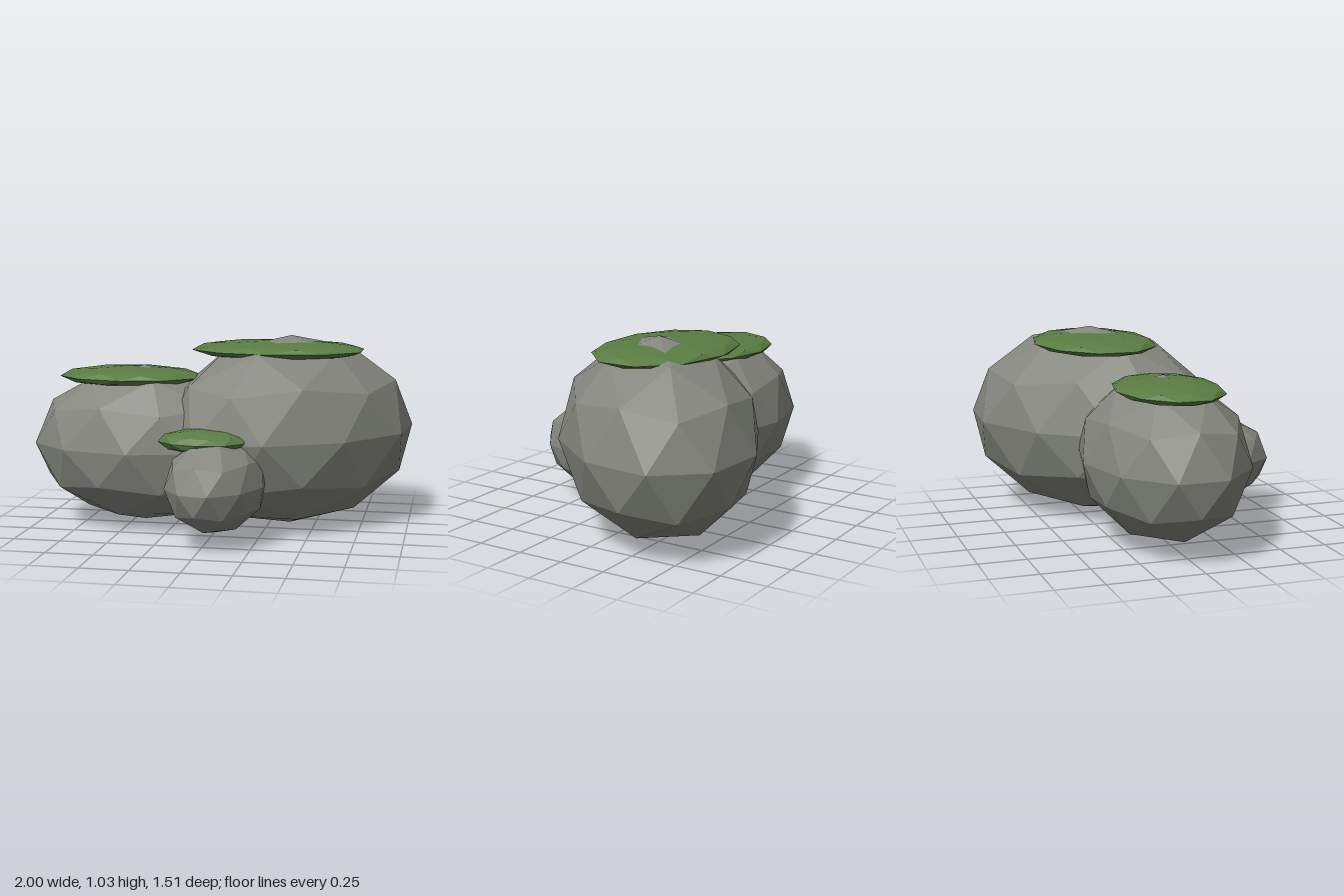
import * as THREE from 'three';

// Faceted unit boulder: a corner points straight up and one upper-ring corner points to +x
function facetedBall() {
  const geo = new THREE.IcosahedronGeometry(1, 1);
  geo.rotateX(-Math.atan((1 + Math.sqrt(5)) / 2));
  geo.rotateY(Math.PI / 2);
  geo.computeVertexNormals(); // unshared corners, so this gives flat facets
  return geo;
}

export function createModel() {
  const model = new THREE.Group();
  model.name = 'mossyRocks';

  const stone = new THREE.MeshStandardMaterial({ color: 0x85877f });
  stone.name = 'stone grey';
  const moss = new THREE.MeshStandardMaterial({ color: 0x5a7d43 });
  moss.name = 'moss green';

  const ball = facetedBall();

  // size = short radius; each boulder is stretched along its own x axis
  const boulders = [
    { name: 'medium', pos: [-0.42, 0.447, -0.012], size: 0.425, turn: 0, mossY: 0.811, mossH: 0.054 },
    { name: 'large', pos: [0.36, 0.516, -0.163], size: 0.515, turn: 0.7, mossY: 0.953, mossH: 0.051 },
    { name: 'small', pos: [0.057, 0.312, 0.4], size: 0.251, turn: 1.4, mossY: 0.531, mossH: 0.062 },
  ];

  for (const { name, pos, size, turn, mossY, mossH } of boulders) {
    const rock = new THREE.Mesh(ball, stone);
    rock.name = name + 'Rock';
    rock.position.set(...pos);
    rock.rotation.y = turn;
    rock.scale.set(size * 1.435, size, size);

    // Flattened moss cushion, slightly off centre on top
    const cap = new THREE.Mesh(ball, moss);
    cap.name = name + 'MossCap';
    cap.position.set(pos[0] - 0.072, mossY, pos[2]);
    cap.scale.set(size * 0.93, mossH, size * 0.645);

    model.add(rock, cap);
  }
  return model;
}
